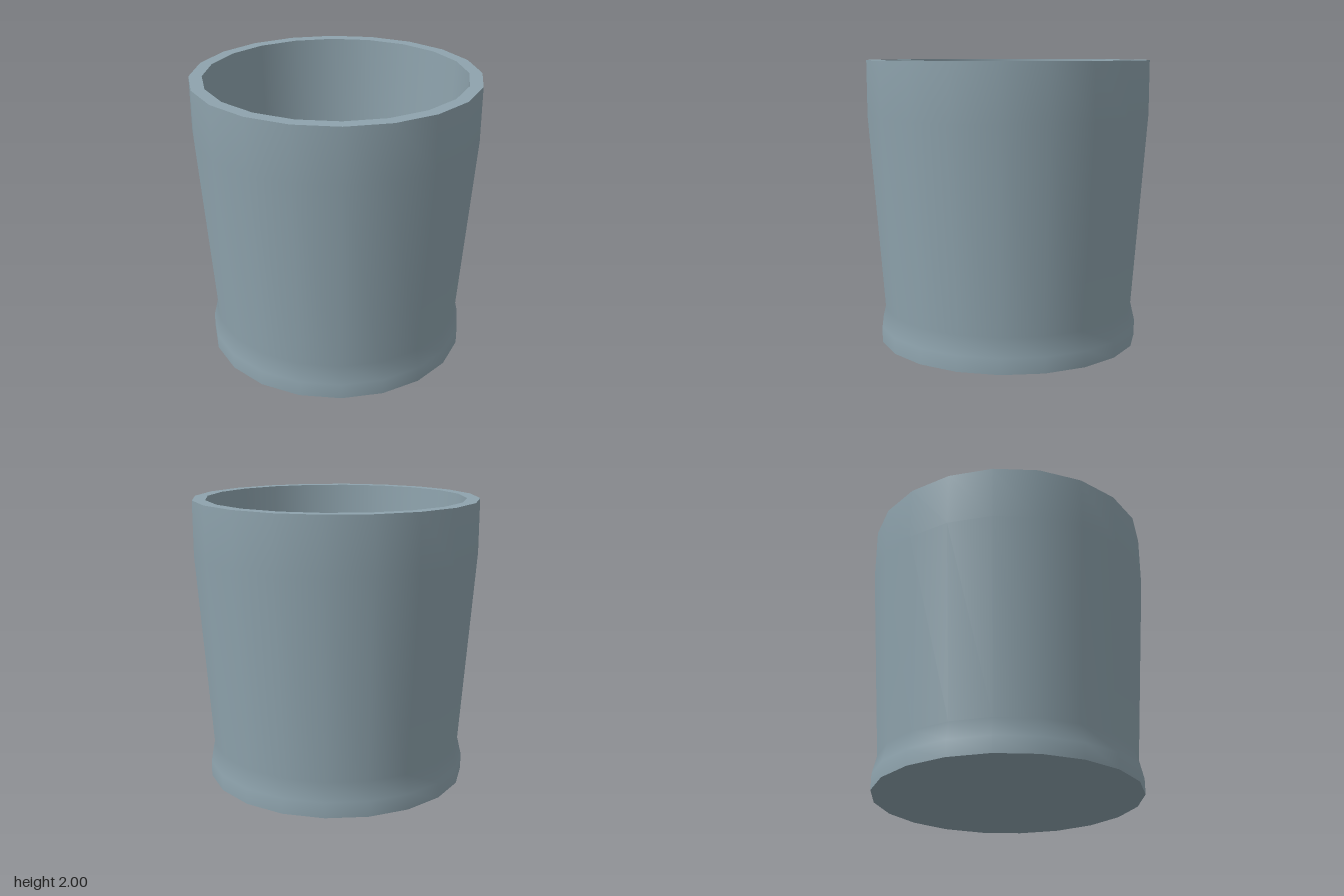
import * as THREE from 'three';

const SIDES = 20;

export function createModel() {
  const group = new THREE.Group();
  group.name = 'cup';
  const blueGrey = new THREE.MeshStandardMaterial({ color: 0x8ea3ad });
  blueGrey.name = 'blueGrey';

  // Each part is its own lathe, so the edges between parts stay sharp
  function addLathe(name, profile) {
    const points = profile.map(([r, y]) => new THREE.Vector2(r, y));
    const mesh = new THREE.Mesh(new THREE.LatheGeometry(points, SIDES), blueGrey);
    mesh.name = name;
    group.add(mesh);
  }

  // Profiles run from the underside, up the outside and down the inside
  addLathe('underside', [[0, 0], [0.93, 0]]);
  addLathe('outerWall', [[0.93, 0], [0.93, 0.11], [0.9, 0.24], [1, 1.62], [1, 2]]);
  addLathe('rim', [[1, 2], [0.91, 2]]);
  addLathe('innerWall', [[0.91, 2], [0.84, 0.12]]);
  addLathe('innerFloor', [[0.84, 0.12], [0, 0.12]]);

  return group;
}
